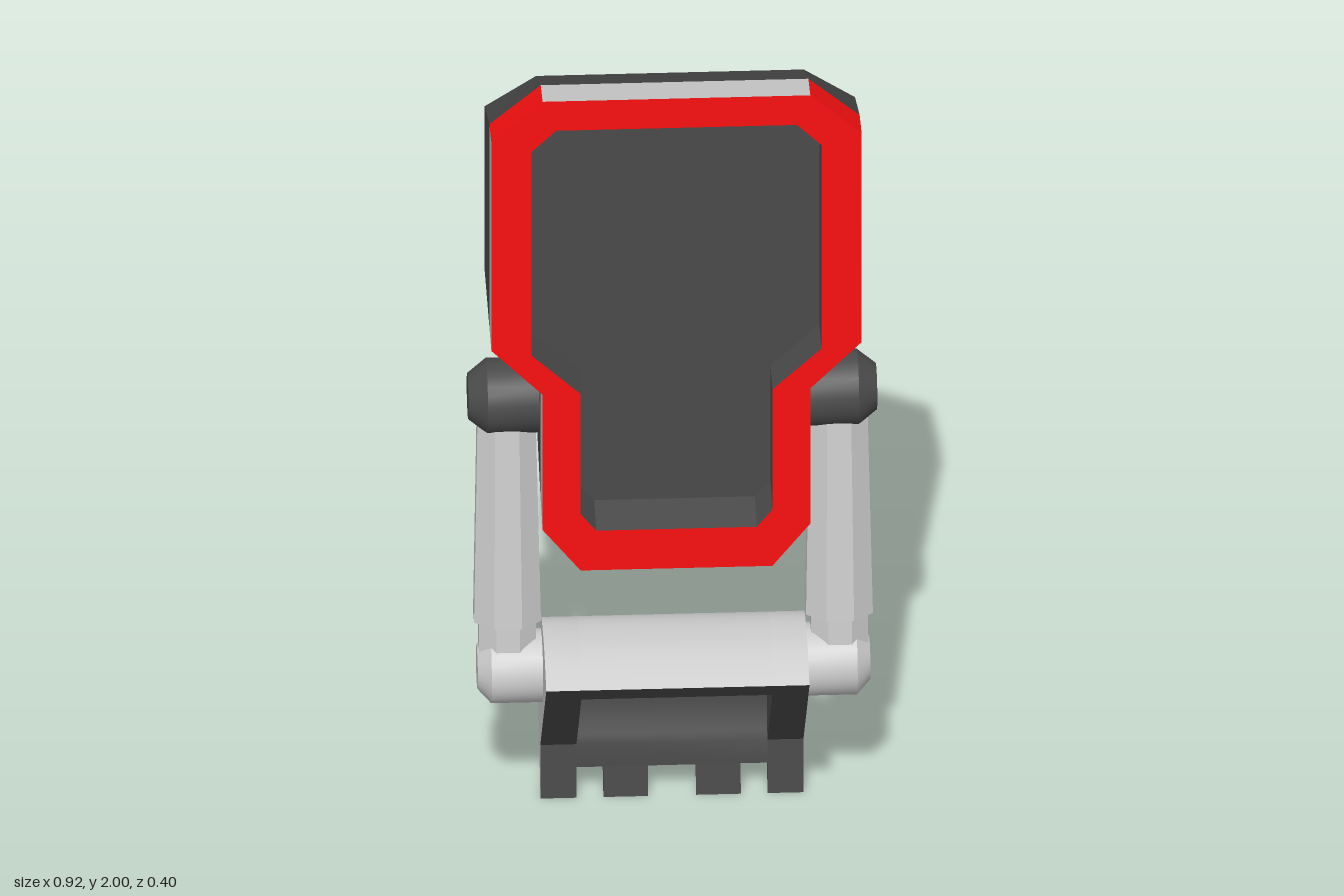
import * as THREE from 'three';
import { toCreasedNormals } from 'three/addons/utils/BufferGeometryUtils.js';

const grey = new THREE.MeshStandardMaterial({ color: 0xcccccc });
const dark = new THREE.MeshStandardMaterial({ color: 0x4a4a4a });
const red = new THREE.MeshStandardMaterial({ color: 0xfa1010 });

function add(parent, name, geometry, material) {
  const mesh = new THREE.Mesh(geometry, material);
  mesh.name = name;
  parent.add(mesh);
  return mesh;
}

// Quads between two matching rows of points; keep(i) picks which edges are built
function ruled(a, b, closed = false, keep = () => true) {
  const pos = [];
  const count = closed ? a.length : a.length - 1;
  for (let i = 0; i < count; i++) {
    if (!keep(i)) continue;
    const j = (i + 1) % a.length;
    for (const p of [a[i], a[j], b[j], a[i], b[j], b[i]]) pos.push(...p);
  }
  const g = new THREE.BufferGeometry();
  g.setAttribute('position', new THREE.Float32BufferAttribute(pos, 3));
  return toCreasedNormals(g, 0.5);
}

const toShape = (pts) => new THREE.Shape(pts.map(([x, y]) => new THREE.Vector2(x, y)));

// Mirrored outline, counter-clockwise from the bottom right
function outline(right) {
  return [...right, ...right.map(([x, y]) => [-x, y]).reverse()];
}
const bodyOutline = (bottom, bottomSide, topSide, top) => outline([
  [0.215, bottom], [0.3, bottomSide], [0.3, 1.22], [0.415, 1.34], [0.415, topSide], [0.3, top]]);
const recessOutline = (bottom, top) => outline([
  [0.18, bottom], [0.215, bottom + 0.045], [0.215, 1.22], [0.325, 1.325], [0.325, top - 0.055], [0.27, top]]);

function makeBody() {
  const body = new THREE.Group();
  body.name = 'body';
  const [zFront, zMid, zBack] = [0.13, 0.03, -0.2];
  const at = (pts, z) => pts.map(([x, y]) => [x, y, z]);
  const front = bodyOutline(0.75, 0.86, 1.895, 2);
  const mid = bodyOutline(0.772, 0.877, 1.88, 1.98);
  const back = bodyOutline(0.893, 0.975, 1.78, 1.857);
  const recessFront = recessOutline(0.855, 1.922);
  const recessBack = recessOutline(0.872, 1.905);

  // Dark rear shell
  add(body, 'rearShell', ruled(at(back, zBack), at(mid, zMid), true), dark);
  add(body, 'backPanel', new THREE.ShapeGeometry(toShape(back)).rotateY(Math.PI).translate(0, 0, zBack), dark);

  // Front band: red corners, grey elsewhere
  const corner = (i) => [0, 4, 6, 10].includes(i);
  add(body, 'bandCorners', ruled(at(mid, zMid), at(front, zFront), true, corner), red);
  add(body, 'bandSides', ruled(at(mid, zMid), at(front, zFront), true, (i) => !corner(i)), grey);

  // Red rim around a dark recess
  const rim = toShape(front);
  rim.holes.push(toShape(recessFront));
  add(body, 'frontRim', new THREE.ShapeGeometry(rim).translate(0, 0, zFront), red);
  add(body, 'recessWalls', ruled(at(recessFront, zFront), at(recessBack, zMid), true), dark);
  add(body, 'recessFloor', new THREE.ShapeGeometry(toShape(recessBack)).translate(0, 0, zMid), dark);
  return body;
}

// Joint with a bevelled outer end, pointing sideways
function pivot(side, radius, endRadius, length, bevel) {
  const pts = [[0, 0], [radius, 0], [radius, length - bevel], [endRadius, length], [0, length]]
    .map(([x, y]) => new THREE.Vector2(x, y));
  return toCreasedNormals(new THREE.LatheGeometry(pts, 24), 0.5).rotateZ(-side * Math.PI / 2);
}

// Eight-sided rod section with flat faces
function rod(topWidth, bottomWidth, length) {
  const k = 0.5 / Math.cos(Math.PI / 8);
  const g = new THREE.CylinderGeometry(topWidth * k, bottomWidth * k, length, 8).rotateY(Math.PI / 8);
  return toCreasedNormals(g.scale(1, 1, 0.86), 0.3);
}

function makeArm(side) {
  const arm = new THREE.Group();
  arm.name = side > 0 ? 'leftArm' : 'rightArm';
  add(arm, 'shoulderPivot', pivot(side, 0.085, 0.052, 0.168, 0.042), dark).position.set(side * 0.29, 1.077, -0.095);
  add(arm, 'bucketPivot', pivot(side, 0.083, 0.05, 0.15, 0.03), grey).position.set(side * 0.29, 0.395, -0.035);

  // Rod leaning back toward the shoulder
  const link = new THREE.Group();
  link.name = 'link';
  link.position.set(side * 0.372, 0.395, -0.035);
  link.rotation.x = -0.087;
  add(link, 'rod', rod(0.13, 0.15, 0.525), grey).position.y = 0.388;
  add(link, 'neck', rod(0.128, 0.128, 0.1), grey).position.y = 0.08;
  arm.add(link);
  return arm;
}

function makeBucket() {
  const bucket = new THREE.Group();
  bucket.name = 'bucket';
  const spline = (pts, n) => new THREE.SplineCurve(pts.map(([z, y]) => new THREE.Vector2(z, y)))
    .getPoints(n).map((p) => [p.x, p.y]);

  // Profiles as [z, y], from the front lip over the back down to the teeth
  const outer = spline([[0.2, 0.475], [0.1, 0.518], [-0.02, 0.52], [-0.105, 0.475], [-0.16, 0.4],
    [-0.195, 0.31], [-0.2, 0.25], [-0.18, 0.165], [-0.137, 0.08], [-0.09, 0.004]], 36);
  const inner = spline([[-0.1, 0.14], [-0.128, 0.22], [-0.125, 0.3], [-0.07, 0.405],
    [0, 0.45], [0.08, 0.45], [0.151, 0.42]], 18);
  const split = outer.findIndex(([, y]) => y < 0.1);
  const toothTop = [-0.098, outer[split][1]];

  // Solid slice across x: grey outer skin, dark front and inner faces
  function slice(name, skin, rest, x0, x1, capRight, capLeft) {
    const part = new THREE.Group();
    part.name = name;
    const at = (pts, x) => pts.map(([z, y]) => [x, y, z]);
    const inside = [skin[skin.length - 1], ...rest, skin[0]];
    add(part, 'skin', ruled(at(skin, x1), at(skin, x0)), grey);
    add(part, 'inside', ruled(at(inside, x1), at(inside, x0)), dark);
    const all = [...skin, ...rest];
    add(part, 'leftFace', new THREE.ShapeGeometry(toShape(all.map(([z, y]) => [-z, y])))
      .rotateY(Math.PI / 2).translate(x1, 0, 0), capLeft);
    add(part, 'rightFace', new THREE.ShapeGeometry(toShape(all))
      .rotateY(-Math.PI / 2).translate(x0, 0, 0), capRight);
    bucket.add(part);
  }

  slice('shell', outer.slice(0, split + 1), [toothTop, ...inner], -0.214, 0.214, dark, dark);
  slice('leftPlate', outer, [[-0.1, 0.14]], 0.214, 0.295, dark, grey);
  slice('rightPlate', outer, [[-0.1, 0.14]], -0.295, -0.214, grey, dark);
  for (const x of [-0.104, 0.104]) {
    slice('tooth', outer.slice(split), [toothTop], x - 0.05, x + 0.05, dark, dark);
  }
  return bucket;
}

export function createModel() {
  const model = new THREE.Group();
  model.name = 'bucketArm';
  model.add(makeBody(), makeArm(1), makeArm(-1), makeBucket());
  return model;
}
